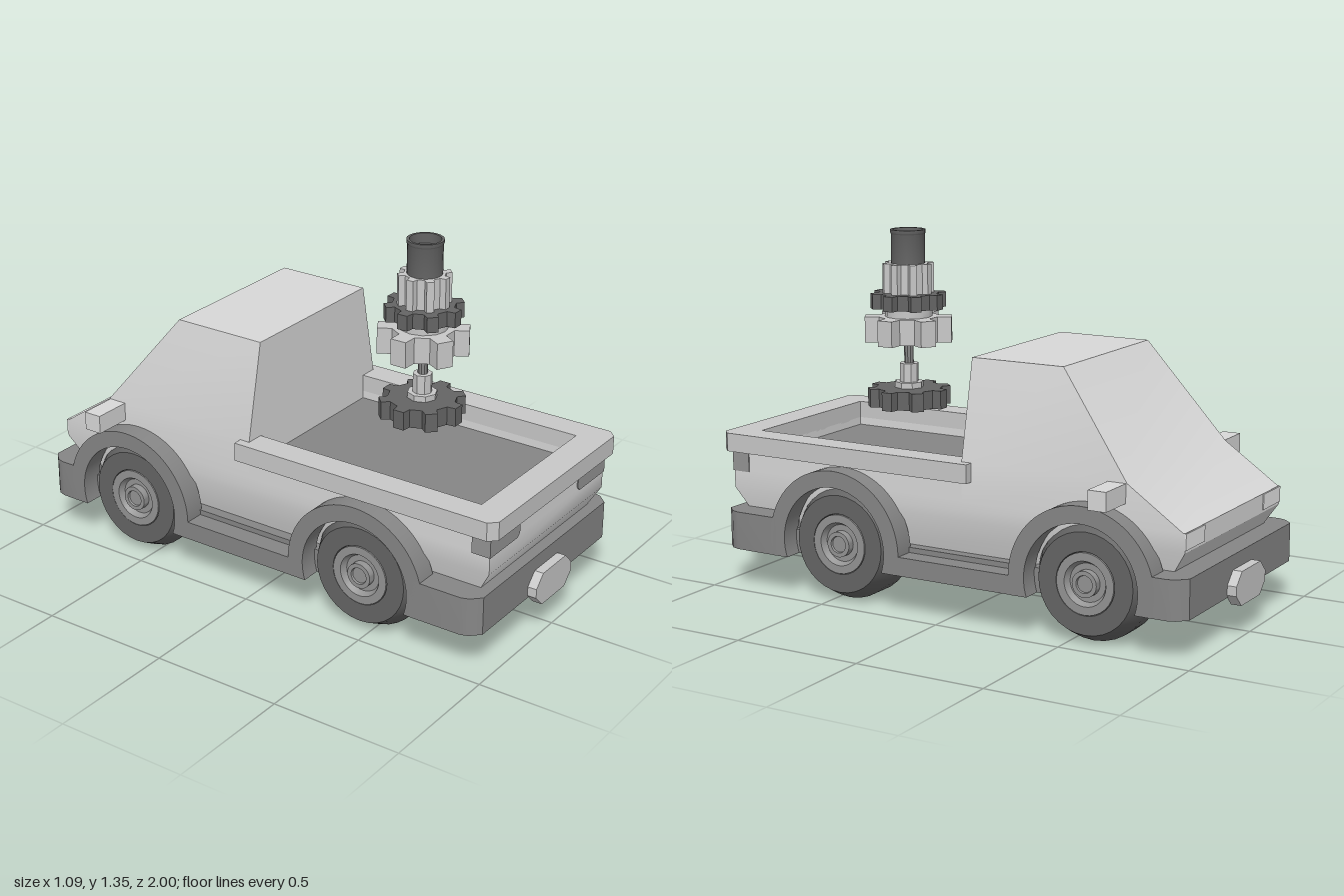
import * as THREE from 'three';
import { toCreasedNormals } from 'three/addons/utils/BufferGeometryUtils.js';

const mat = (name, color) => {
  const m = new THREE.MeshStandardMaterial({ color });
  m.name = name;
  return m;
};

export function createModel() {
  const body = mat('body paint', 0xd8d8d8);
  const trim = mat('rail grey', 0xc8c8c8);
  const dark = mat('chassis grey', 0x868686);
  const rubber = mat('tyre dark grey', 0x646464);
  const lamp = mat('lamp grey', 0x949494);
  const bright = mat('headlamp pale grey', 0xe6e6e6);
  const root = new THREE.Group();

  const add = (name, geo, material, parent = root) => {
    const mesh = new THREE.Mesh(toCreasedNormals(geo, 0.55), material);
    mesh.name = name;
    parent.add(mesh);
    return mesh;
  };
  // box from its minimum and maximum corners
  const box = (name, x0, x1, y0, y1, z0, z1, material) =>
    add(name, new THREE.BoxGeometry(x1 - x0, y1 - y0, z1 - z0)
      .translate((x0 + x1) / 2, (y0 + y1) / 2, (z0 + z1) / 2), material);
  const polygon = pts => new THREE.Shape(pts.map(p => new THREE.Vector2(...p)));
  const extrude = (shape, depth) =>
    new THREE.ExtrudeGeometry(shape, { depth, bevelEnabled: false, curveSegments: 24 });
  // plan outline (x, z) raised between two heights
  const slab = (shape, y0, y1) => extrude(shape, y1 - y0).rotateX(Math.PI / 2).translate(0, y1, 0);
  // stack of rectangular rings [y, halfWidth, zBack, zFront]
  const loft = rings => {
    const pos = [], idx = [];
    rings.forEach(([y, w, zb, zf]) => pos.push(-w, y, zf, w, y, zf, w, y, zb, -w, y, zb));
    for (let i = 0; i < rings.length - 1; i++)
      for (let k = 0; k < 4; k++) {
        const a = i * 4 + k, b = i * 4 + (k + 1) % 4;
        idx.push(a, b, b + 4, a, b + 4, a + 4);
      }
    const t = (rings.length - 1) * 4;
    idx.push(t, t + 1, t + 2, t, t + 2, t + 3, 0, 2, 1, 0, 3, 2);
    const g = new THREE.BufferGeometry();
    g.setAttribute('position', new THREE.Float32BufferAttribute(pos, 3));
    g.setIndex(idx);
    return g;
  };

  // lower body, tapering inward below the waist
  add('lowerBody', loft([[0.2, 0.345, -0.82, 0.865], [0.37, 0.4, -0.93, 0.965], [0.44, 0.4, -0.93, 0.965]]), body);
  // bonnet and cab
  add('cab', loft([[0.435, 0.4, -0.93, -0.05], [0.585, 0.4, -0.71, -0.05], [0.95, 0.325, -0.42, -0.05]]), body);

  // load bed: side walls, top rail and floor
  const u = (w, zf, zb, c) => polygon([
    [w, zb], [w, zf - c], [w - c, zf], [c - w, zf], [-w, zf - c], [-w, zb],
    [-0.33, zb], [-0.33, 0.885], [0.33, 0.885], [0.33, zb]]);
  add('bedWalls', slab(u(0.4, 0.965, -0.05, 0.005), 0.44, 0.52), body);
  add('bedRail', slab(u(0.435, 1, -0.09, 0.03), 0.515, 0.585), trim);
  box('bedFloor', -0.335, 0.335, 0.43, 0.49, -0.06, 0.89, dark);

  // chassis and bumpers
  box('chassis', -0.4, 0.4, 0.15, 0.24, -0.93, 0.93, dark);
  const bumper = (name, s, inner) => add(name, slab(polygon([
    [-0.475, s * inner], [0.475, s * inner], [0.475, s * 0.9], [0.465, s * 0.93], [0.43, s * 0.965],
    [-0.43, s * 0.965], [-0.465, s * 0.93], [-0.475, s * 0.9]]), 0.15, 0.295), dark);
  bumper('frontBumper', 1, 0.69);
  bumper('rearBumper', -1, 0.8);

  // number plate blanks
  const plate = polygon([[-0.125, 0.16], [-0.08, 0.115], [0.08, 0.115], [0.125, 0.16],
    [0.125, 0.195], [0.08, 0.24], [-0.08, 0.24], [-0.125, 0.195]]);
  add('frontPlate', extrude(plate, 0.04).translate(0, 0, 0.96), trim);
  add('rearPlate', extrude(plate, 0.04).translate(0, 0, -1), trim);

  // wheel profiles: radius, distance from the centre line
  const turned = pts => new THREE.LatheGeometry(pts.map(p => new THREE.Vector2(...p)), 32).rotateZ(-Math.PI / 2);
  const tyre = [[0, 0.22], [0.19, 0.22], [0.22, 0.28], [0.22, 0.37], [0.185, 0.435], [0.115, 0.435], [0.105, 0.41], [0, 0.41]];
  const hub = [[0.112, 0.42], [0.112, 0.437], [0.082, 0.437], [0.07, 0.415], [0.048, 0.415],
    [0.048, 0.443], [0.032, 0.443], [0.03, 0.435], [0, 0.435]];

  for (const s of [-1, 1]) {
    const side = s > 0 ? 'left' : 'right';
    const [a, b] = [s * 0.39, s * 0.475].sort((p, q) => p - q);
    box(side + 'Sill', a, b, 0.15, 0.22, -0.31, 0.2, dark);
    for (const [end, z] of [['Front', 0.46], ['Rear', -0.57]]) {
      // wheel arch
      const arch = new THREE.Shape();
      arch.absarc(z, 0.22, 0.285, -0.25, Math.PI + 0.25, false);
      arch.absarc(z, 0.22, 0.222, Math.PI + 0.32, -0.32, true);
      add(side + end + 'Arch', extrude(arch, b - a).rotateY(-Math.PI / 2).translate(b, 0, 0), dark);
      // wheel
      const wheel = new THREE.Group();
      wheel.name = side + end + 'Wheel';
      add('tyre', turned(tyre), rubber, wheel);
      add('hub', turned(hub), lamp, wheel);
      wheel.position.set(0, 0.22, z);
      wheel.rotation.y = s > 0 ? 0 : Math.PI;
      root.add(wheel);
    }
    // wing mirror
    const [m0, m1] = [s * 0.36, s * 0.545].sort((p, q) => p - q);
    box(side + 'Mirror', m0, m1, 0.515, 0.585, -0.705, -0.635, body);
    // lamps wrapping the corners
    const lens = polygon([[s * 0.404, 0.435], [s * 0.22, 0.435], [s * 0.205, 0.45], [s * 0.205, 0.515], [s * 0.404, 0.515]]);
    add(side + 'FrontLamp', extrude(lens, 0.006).translate(0, 0, 0.963), lamp);
    const [l0, l1] = [s * 0.398, s * 0.404].sort((p, q) => p - q);
    box(side + 'FrontLampSide', l0, l1, 0.435, 0.515, 0.895, 0.968, lamp);
    const [h0, h1] = [s * 0.25, s * 0.4].sort((p, q) => p - q);
    box(side + 'RearLamp', h0, h1, 0.38, 0.438, -0.934, -0.928, bright);
  }

  // gear stack floating above the bed
  const stack = new THREE.Group();
  stack.name = 'gearStack';
  stack.position.z = 0.43;
  root.add(stack);
  const gear = (name, n, rOut, rIn, y0, y1, material) => {
    const pts = [], step = Math.PI * 2 / n;
    for (let i = 0; i < n; i++)
      for (const [r, f] of [[rIn, -0.27], [rOut, -0.18], [rOut, 0.18], [rIn, 0.27]])
        pts.push([r * Math.cos((i + f) * step), r * Math.sin((i + f) * step)]);
    add(name, slab(polygon(pts), y0, y1), material, stack);
  };
  const rod = (name, r, y0, y1, n, material) =>
    add(name, new THREE.CylinderGeometry(r, r, y1 - y0, n).translate(0, (y0 + y1) / 2, 0), material, stack);
  gear('baseGear', 8, 0.157, 0.125, 0.675, 0.745, rubber);
  rod('baseCollar', 0.055, 0.745, 0.767, 8, trim);
  rod('lowerShaft', 0.036, 0.767, 0.838, 8, trim);
  rod('thinShaft', 0.018, 0.838, 0.92, 10, dark);
  gear('largeGear', 6, 0.167, 0.115, 0.92, 1.018, trim);
  rod('spacer', 0.09, 1.018, 1.05, 12, trim);
  gear('middleGear', 8, 0.143, 0.113, 1.05, 1.107, rubber);
  gear('ribbedGear', 8, 0.097, 0.075, 1.107, 1.22, trim);
  // open-topped tube with a lip
  const tube = [[0, 1.22], [0.064, 1.22], [0.064, 1.33], [0.067, 1.335], [0.067, 1.347], [0.057, 1.347], [0.057, 1.31], [0, 1.31]];
  add('topTube', new THREE.LatheGeometry(tube.map(p => new THREE.Vector2(...p)), 24), rubber, stack);

  return root;
}
